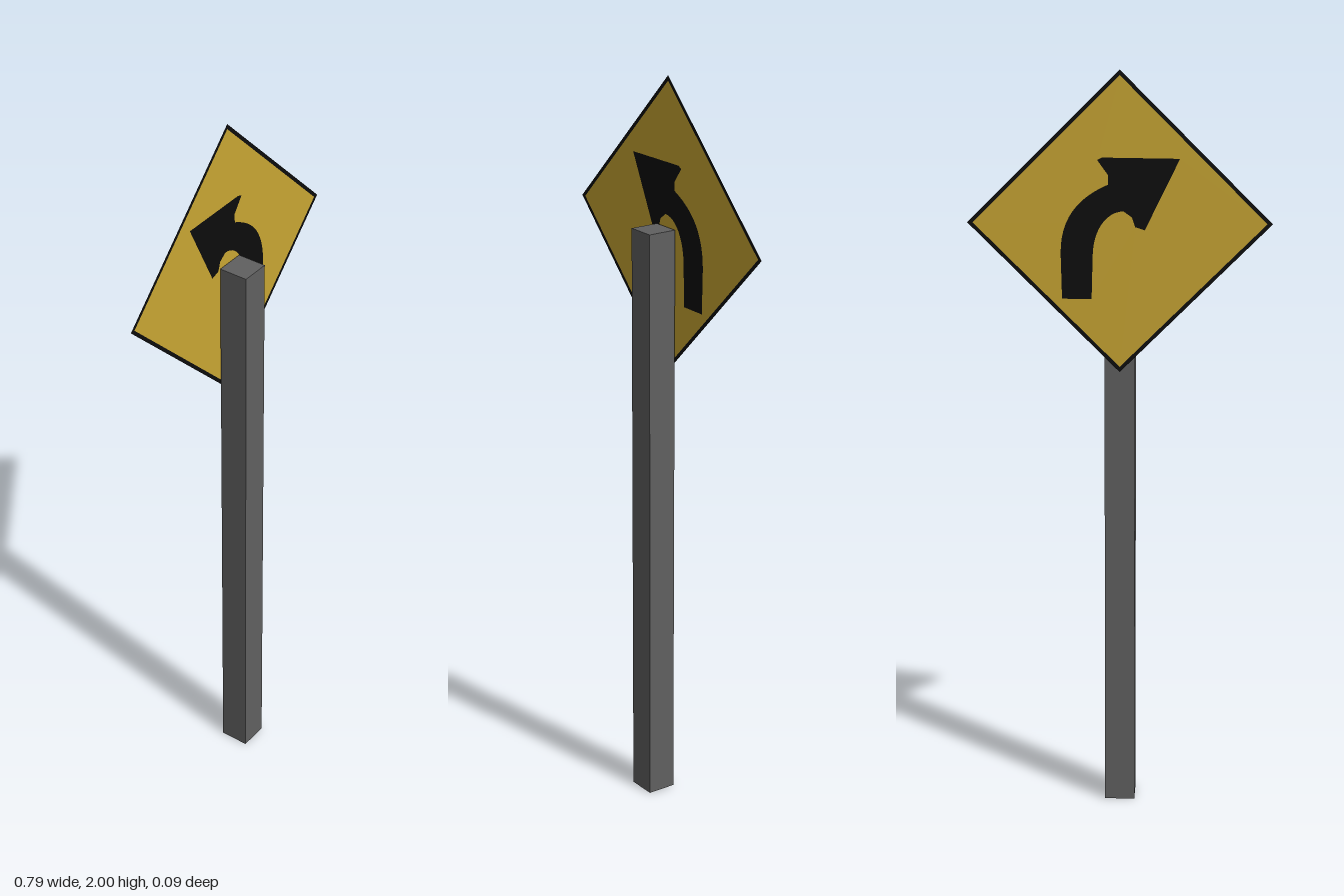
import * as THREE from 'three';

export function createModel() {
  const model = new THREE.Group();
  model.name = 'curveRoadSign';

  const flat = (name, color) => {
    const m = new THREE.MeshStandardMaterial({ color });
    m.name = name;
    return m;
  };
  const grey = flat('post grey', 0x606060);
  const yellow = flat('sign yellow', 0xc9a633);
  const black = flat('sign black', 0x0c0c0c);
  yellow.side = black.side = THREE.DoubleSide;

  const add = (name, geometry, material, x, y, z) => {
    const mesh = new THREE.Mesh(geometry, material);
    mesh.name = name;
    mesh.position.set(x, y, z);
    model.add(mesh);
  };

  // Square post
  add('post', new THREE.BoxGeometry(0.08, 1.605, 0.08), grey, 0, 0.8025, 0.003);

  // Sign outlines, measured from the centre of the diamond
  const centreY = 1.605;
  const diamond = (r) => [[r, 0], [0, r], [-r, 0], [0, -r]].map(([x, y]) => new THREE.Vector2(x, y));

  // Left-curving arrow: head, outer bend, foot, inner bend
  const arrow = new THREE.Shape();
  arrow.moveTo(-0.155, 0.168);
  arrow.lineTo(0.045, 0.17);
  arrow.lineTo(0.058, 0.164);
  arrow.lineTo(0.03, 0.125);
  arrow.lineTo(0.03, 0.1);
  arrow.bezierCurveTo(0.11, 0.065, 0.153, 0.01, 0.153, -0.08);
  arrow.lineTo(0.15, -0.2);
  arrow.lineTo(0.073, -0.2);
  arrow.lineTo(0.07, -0.09);
  arrow.bezierCurveTo(0.07, -0.02, 0.035, 0.03, -0.01, 0.031);
  arrow.lineTo(-0.032, 0.015);
  arrow.lineTo(-0.04, -0.01);
  arrow.lineTo(-0.065, -0.018);
  arrow.closePath();

  // Flush, non-overlapping sign faces
  const border = new THREE.Shape(diamond(0.395));
  border.holes.push(new THREE.Path(diamond(0.381)));
  const panel = new THREE.Shape(diamond(0.381));
  panel.holes.push(new THREE.Path(arrow.getPoints(12)));

  const parts = [['signBorder', border, black], ['signPanel', panel, yellow], ['curveArrow', arrow, black]];
  for (const [name, shape, material] of parts) {
    add(name, new THREE.ShapeGeometry(shape, 12), material, 0, centreY, -0.043);
  }
  return model;
}
